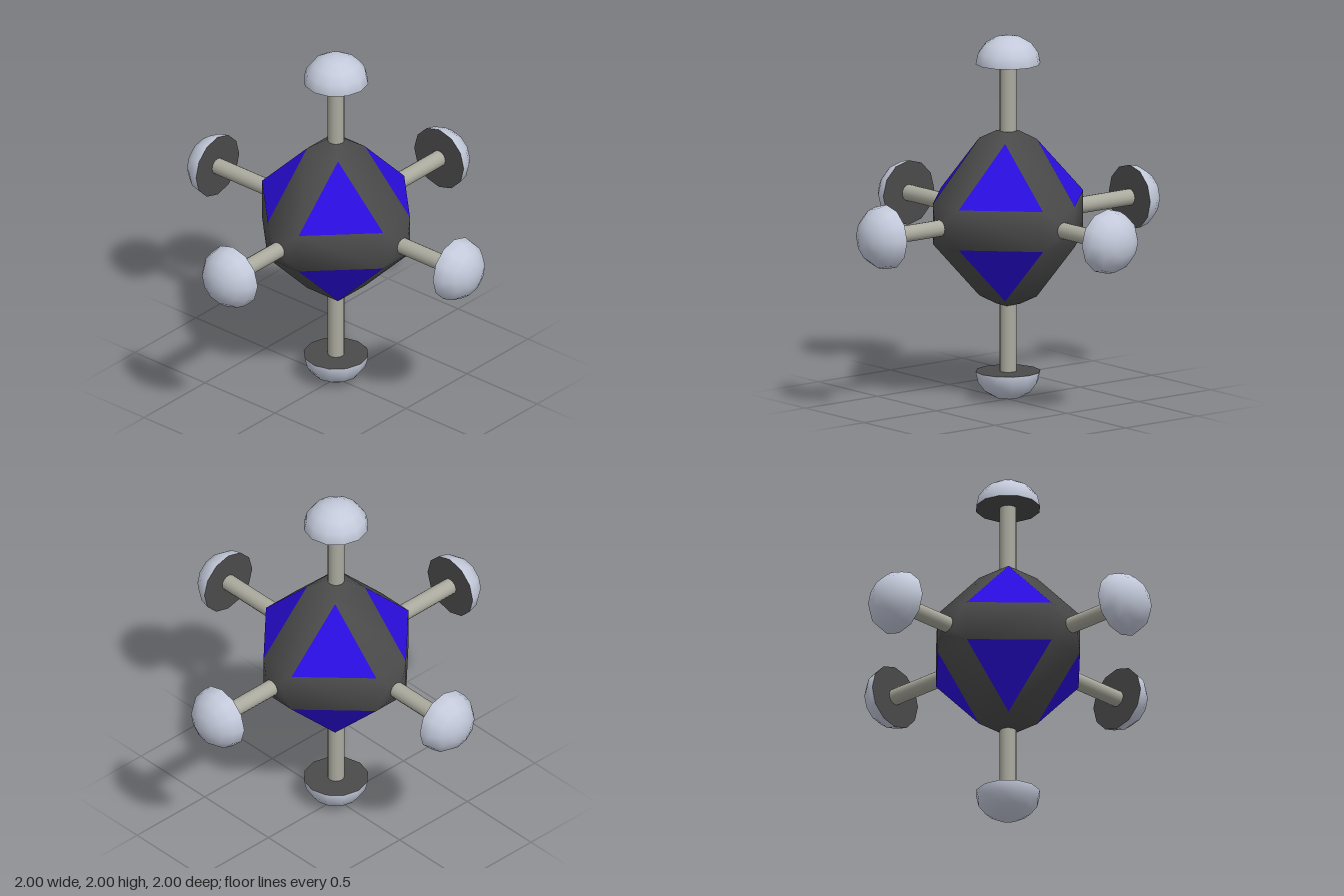
import * as THREE from 'three';
import { mergeVertices } from 'three/addons/utils/BufferGeometryUtils.js';
import { ConvexGeometry } from 'three/addons/geometries/ConvexGeometry.js';

const paint = (color, extra = {}) => new THREE.MeshStandardMaterial({ color, ...extra });

// Bevelled octahedral hull, split into its dark frame and its eight corner panels
function createBody(dark, blue) {
  const points = [];
  for (let axis = 0; axis < 3; axis++)
    for (const s of [-1, 1])
      for (const u of [-1, 1])
        for (const v of [-1, 1])
          for (const [out, half] of [[0.433, 0.11], [0.476, 0.045]]) {
            const p = new THREE.Vector3();
            p.setComponent(axis, s * out);
            p.setComponent((axis + 1) % 3, u * half);
            p.setComponent((axis + 2) % 3, v * half);
            points.push(p);
          }
  const pos = new ConvexGeometry(points).attributes.position;
  const frame = [], panels = [];
  const tri = new THREE.Triangle(), n = new THREE.Vector3();
  for (let i = 0; i < pos.count; i += 3) {
    tri.setFromAttributeAndIndices(pos, i, i + 1, i + 2);
    tri.getNormal(n);
    // panels are the faces that look along the cube diagonals
    const isPanel = Math.min(Math.abs(n.x), Math.abs(n.y), Math.abs(n.z)) > 0.5;
    const list = isPanel ? panels : frame;
    for (const p of [tri.a, tri.b, tri.c]) list.push(p.x, p.y, p.z);
  }
  const build = (list) => new THREE.BufferGeometry()
    .setAttribute('position', new THREE.Float32BufferAttribute(list, 3));

  const frameGeometry = mergeVertices(build(frame));
  frameGeometry.computeVertexNormals();
  const panelGeometry = build(panels);
  panelGeometry.computeVertexNormals();

  const body = new THREE.Group();
  body.name = 'body';
  const frameMesh = new THREE.Mesh(frameGeometry, dark);
  frameMesh.name = 'bodyFrame';
  const panelMesh = new THREE.Mesh(panelGeometry, blue);
  panelMesh.name = 'cornerPanels';
  body.add(frameMesh, panelMesh);
  return body;
}

export function createModel() {
  const model = new THREE.Group();
  model.name = 'sixArmedProbe';
  const dark = paint(0x4a4a4a);
  const blue = paint(0x2a0de0);
  const metal = paint(0xaaaa9e);
  const pale = paint(0xc4cadb);

  const core = new THREE.Group();
  core.name = 'core';
  core.position.y = 1;
  core.add(createBody(dark, blue));

  // Arm parts, modelled along +y
  const rodGeometry = new THREE.CylinderGeometry(0.045, 0.045, 0.42, 16);
  rodGeometry.translate(0, 0.65, 0);
  const domeGeometry = new THREE.SphereGeometry(0.177, 12, 4, 0, Math.PI * 2, 0, Math.PI / 2);
  domeGeometry.scale(1, 0.155 / 0.177, 1).translate(0, 0.845, 0);
  const discGeometry = new THREE.CircleGeometry(0.177, 12);
  discGeometry.rotateX(Math.PI / 2).translate(0, 0.845, 0);

  const up = new THREE.Vector3(0, 1, 0);
  const directions = {
    top: [0, 1, 0], bottom: [0, -1, 0], left: [1, 0, 0],
    right: [-1, 0, 0], front: [0, 0, 1], back: [0, 0, -1],
  };
  for (const [side, d] of Object.entries(directions)) {
    const arm = new THREE.Group();
    arm.name = side + 'Arm';
    for (const [name, geometry, material] of [
      ['Rod', rodGeometry, metal],
      ['Dome', domeGeometry, pale],
      ['DomeBase', discGeometry, dark],
    ]) {
      const mesh = new THREE.Mesh(geometry, material);
      mesh.name = side + name;
      arm.add(mesh);
    }
    arm.quaternion.setFromUnitVectors(up, new THREE.Vector3(...d));
    core.add(arm);
  }

  model.add(core);
  return model;
}
